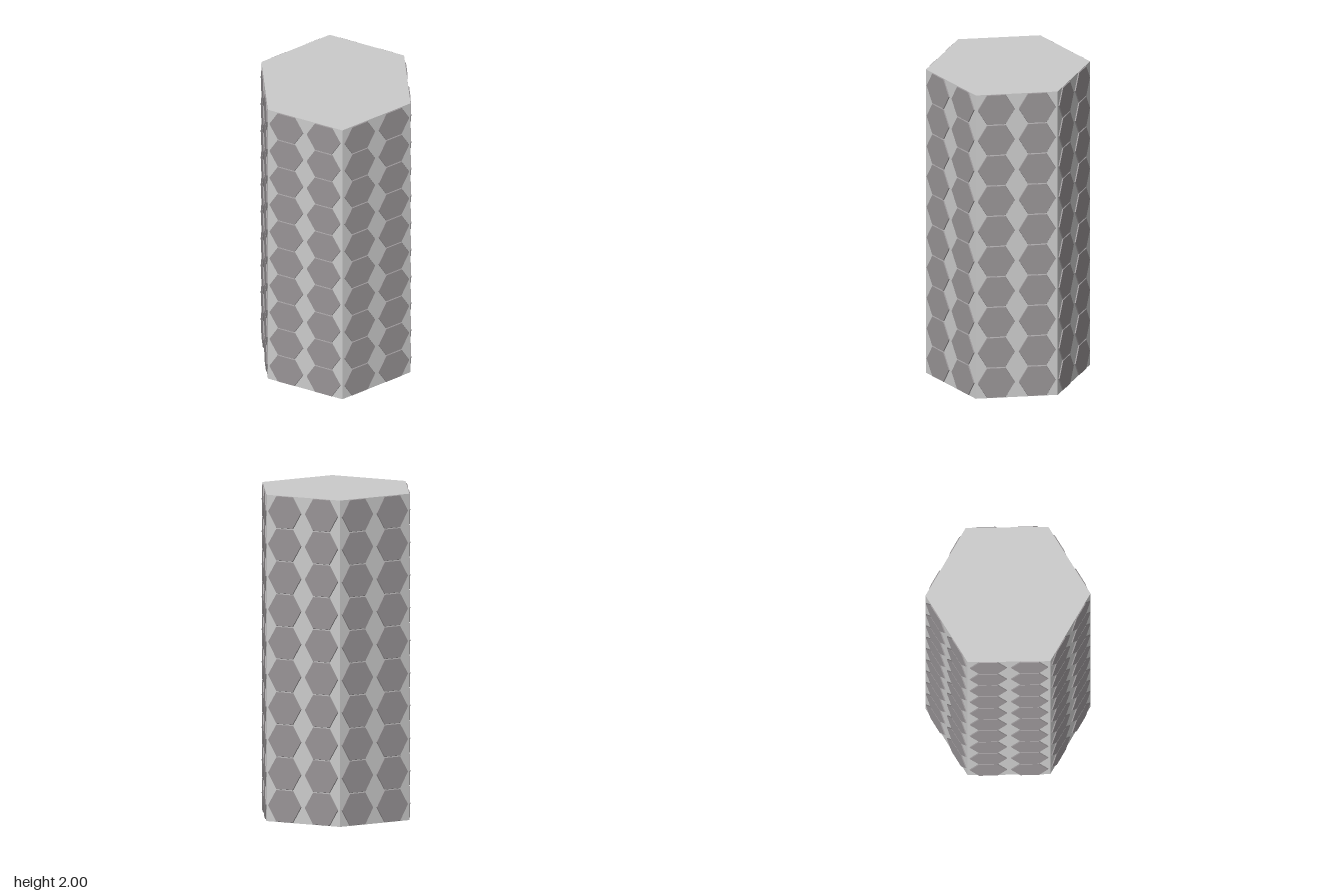
import * as THREE from 'three';
import { mergeGeometries } from 'three/addons/utils/BufferGeometryUtils.js';

const RADIUS = 0.5, HEIGHT = 2, SIDES = 6;
const APOTHEM = RADIUS * Math.cos(Math.PI / SIDES);
const ROWS = 10, COLUMNS = 2, RAISE = 0.006, SUNK = 0.004;

// One hexagonal plate facing +z, points to left and right, with a slight bevel
function plateGeometry() {
  const depth = RAISE + SUNK;
  const g = new THREE.CylinderGeometry(0.111, 0.1153, depth, 6);
  g.rotateY(Math.PI / 6);
  g.rotateX(Math.PI / 2);
  g.translate(0, 0, depth / 2 - SUNK);
  return g;
}

// All plates of one side of the column
function panelGeometry() {
  const plate = plateGeometry();
  const parts = [];
  const stepX = RADIUS / COLUMNS, stepY = HEIGHT / ROWS;
  for (let c = 0; c < COLUMNS; c++) {
    for (let r = 0; r < ROWS; r++) {
      const x = (c - (COLUMNS - 1) / 2) * stepX;
      parts.push(plate.clone().translate(x, (r + 0.5) * stepY, APOTHEM));
    }
  }
  return mergeGeometries(parts);
}

export function createModel() {
  const group = new THREE.Group();
  group.name = 'hexagonalColumn';
  const grey = new THREE.MeshStandardMaterial({ color: 0xcccccc, flatShading: true });
  const dark = new THREE.MeshStandardMaterial({ color: 0x989496, flatShading: true });

  // Six-sided core with corners on the x axis
  const coreGeometry = new THREE.CylinderGeometry(RADIUS, RADIUS, HEIGHT, SIDES);
  coreGeometry.rotateY(Math.PI / SIDES);
  coreGeometry.translate(0, HEIGHT / 2, 0);
  const core = new THREE.Mesh(coreGeometry, grey);
  core.name = 'columnCore';
  group.add(core);

  // Plates repeated round the six sides
  const panel = panelGeometry();
  for (let i = 0; i < SIDES; i++) {
    const plates = new THREE.Mesh(panel, dark);
    plates.name = 'hexagonPlates' + (i + 1);
    plates.rotation.y = (i * 2 * Math.PI) / SIDES;
    group.add(plates);
  }
  return group;
}
